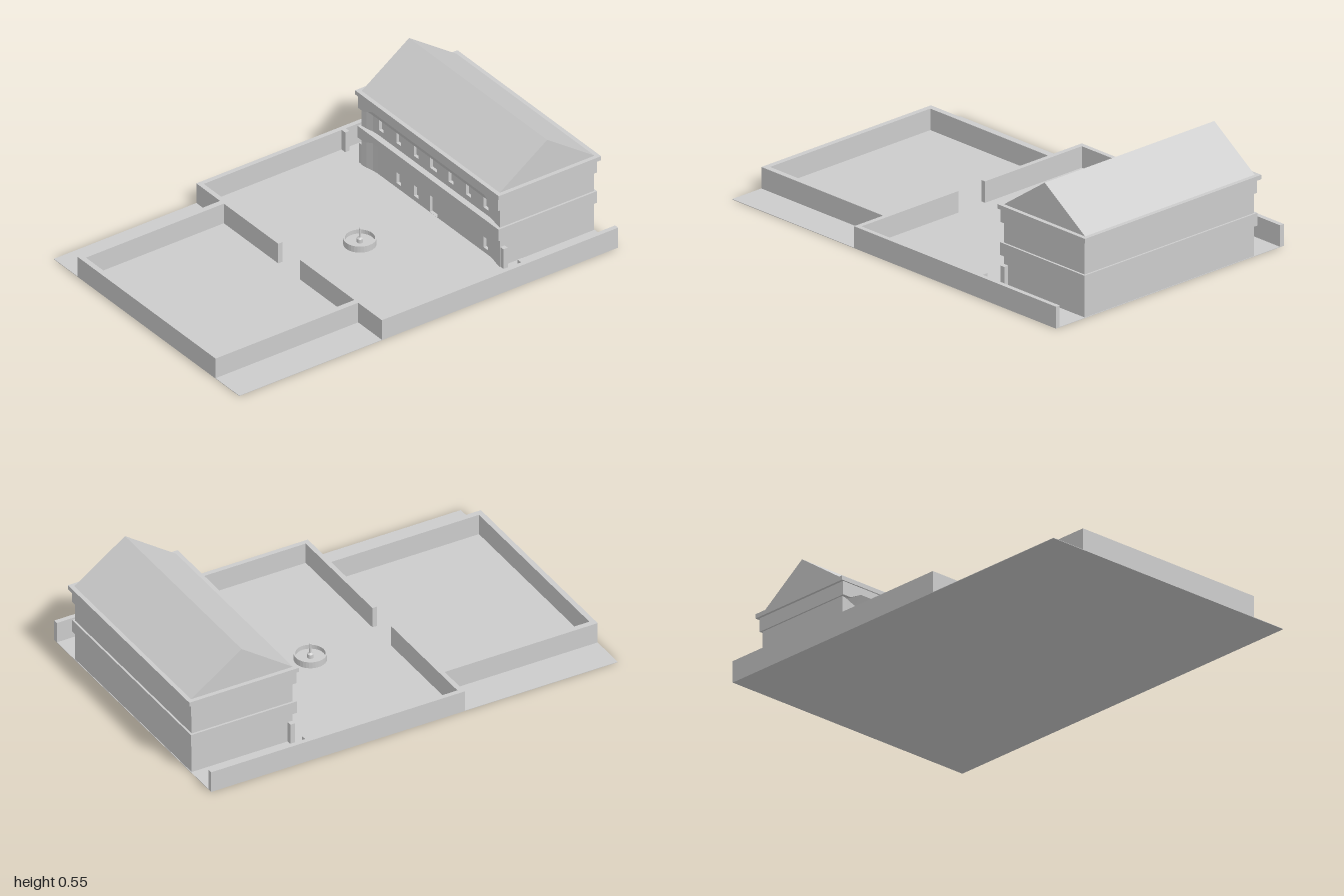
import * as THREE from 'three';

export function createModel() {
  const root = new THREE.Group();
  const mat = new THREE.MeshStandardMaterial({ color: 0xcccccc, flatShading: true, side: THREE.DoubleSide });

  const add = (name, geo, parent = root) => {
    const m = new THREE.Mesh(geo, mat);
    m.name = name;
    parent.add(m);
    return m;
  };
  // box given by its limits on each axis
  const box = (name, x0, x1, y0, y1, z0, z1, parent) =>
    add(name, new THREE.BoxGeometry(x1 - x0, y1 - y0, z1 - z0)
      .translate((x0 + x1) / 2, (y0 + y1) / 2, (z0 + z1) / 2), parent);
  const polygon = (pts) => new THREE.Shape(pts.map(([x, y]) => new THREE.Vector2(x, y)));
  // front-facing shape given depth between z0 and z1
  const slab = (name, shape, z0, z1, parent) =>
    add(name, new THREE.ExtrudeGeometry(shape, { depth: z1 - z0, bevelEnabled: false }).translate(0, 0, z0), parent);

  // Ground
  box('ground', -0.665, 0.665, 0, 0.002, -0.98, 1);

  // Courtyard walls, mirrored left and right
  const walls = new THREE.Group();
  walls.name = 'courtyardWalls';
  root.add(walls);
  const H = 0.1;
  for (const s of [-1, 1]) {
    const side = s < 0 ? 'right' : 'left';
    const wall = (name, a, b, z0, z1) =>
      box(side + name, Math.min(s * a, s * b), Math.max(s * a, s * b), 0, H, z0, z1, walls);
    wall('OuterWall', 0.643, 0.665, -0.98, 0.255);
    wall('CrossWall', 0.078, 0.643, 0.232, 0.255);
    wall('ForecourtWall', 0.468, 0.495, 0.255, 1);
    wall('GatePostOuter', 0.617, 0.643, -0.51, -0.488);
    wall('GatePostInner', 0.49, 0.518, -0.51, -0.488);
  }
  box('forecourtFrontWall', -0.468, 0.468, 0, H, 0.975, 1, walls);

  // Fountain: basin with a slim central jet
  const fountain = new THREE.Group();
  fountain.name = 'fountain';
  fountain.position.set(0, 0, -0.115);
  root.add(fountain);
  const lathe = (name, pts) => {
    const m = add(name, new THREE.LatheGeometry(pts.map(([x, y]) => new THREE.Vector2(x, y)), 32), fountain);
    return m;
  };
  lathe('basin', [[0.071, 0], [0.071, 0.032], [0.064, 0.032], [0.064, 0.012], [0, 0.012]]);
  lathe('jet', [[0.014, 0.012], [0.014, 0.03], [0.005, 0.036], [0.004, 0.08], [0, 0.083]]);

  // Main building
  const hall = new THREE.Group();
  hall.name = 'hall';
  root.add(hall);
  box('body', -0.495, 0.495, 0, 0.36, -0.977, -0.515, hall);

  // Facade with window and door openings
  const facade = polygon([[-0.4, 0], [0.4, 0], [0.4, 0.36], [-0.4, 0.36]]);
  const opening = (x, w, y0, y1) => facade.holes.push(new THREE.Path([
    [x - w / 2, y0], [x - w / 2, y1], [x + w / 2, y1], [x + w / 2, y0],
  ].map(([a, b]) => new THREE.Vector2(a, b))));
  for (let i = -3; i <= 3; i++) opening(i * 0.125, i ? 0.034 : 0.052, 0.225, 0.276);
  for (const x of [-0.25, -0.125, 0.375]) opening(x, 0.032, 0.025, 0.078);
  opening(0, 0.054, 0.003, 0.086);
  slab('facade', facade, -0.515, -0.5, hall);

  // Facade ends sweep gently forward to the corners
  for (const s of [-1, 1]) {
    const plan = polygon([[0.4, 0.515], [0.495, 0.515], [0.495, 0.485], [0.465, 0.489], [0.43, 0.497], [0.4, 0.5]]
      .map(([x, y]) => [s * x, y]));
    add('facadeEnd', new THREE.ExtrudeGeometry(plan, { depth: 0.36, bevelEnabled: false })
      .rotateX(-Math.PI / 2), hall);
  }

  // String courses: plain on three sides, raised underside across the front
  const course = (name, hw, bottom, mid, top) => {
    box(name, -hw, hw, bottom, top, -0.986, -0.515, hall);
    slab(name + 'Front', polygon([
      [-hw, top], [-hw, bottom], [-0.46, bottom], [-0.4, mid],
      [0.4, mid], [0.46, bottom], [hw, bottom], [hw, top],
    ]), -0.515, -0.471, hall);
  };
  course('lowerCourse', 0.505, 0.14, 0.165, 0.198);
  course('upperCourse', 0.503, 0.29, 0.32, 0.355);

  // Sloping cove under the upper course
  const front = [[-0.46, 0.29, -0.471], [-0.4, 0.32, -0.471], [0.4, 0.32, -0.471], [0.46, 0.29, -0.471]];
  const back = [[-0.475, 0.288, -0.486], [-0.41, 0.276, -0.4995], [0.41, 0.276, -0.4995], [0.475, 0.288, -0.486]];
  const cove = new THREE.BufferGeometry();
  const verts = [];
  for (let i = 0; i < 3; i++) {
    verts.push(...back[i], ...back[i + 1], ...front[i + 1], ...back[i], ...front[i + 1], ...front[i]);
  }
  cove.setAttribute('position', new THREE.Float32BufferAttribute(verts, 3));
  cove.computeVertexNormals();
  add('cove', cove, hall);

  // Cornice and gable roof
  box('cornice', -0.515, 0.515, 0.353, 0.373, -1, -0.465, hall);
  const gable = polygon([[0.485, 0.373], [0.98, 0.373], [0.733, 0.545]]);
  add('roof', new THREE.ExtrudeGeometry(gable, { depth: 0.99, bevelEnabled: false })
    .rotateY(Math.PI / 2).rotateY(Math.PI / 2).rotateY(-Math.PI / 2)
    .rotateY(Math.PI / 2).rotateY(-Math.PI / 2).translate(-0.495, 0, 0), hall);

  return root;
}
